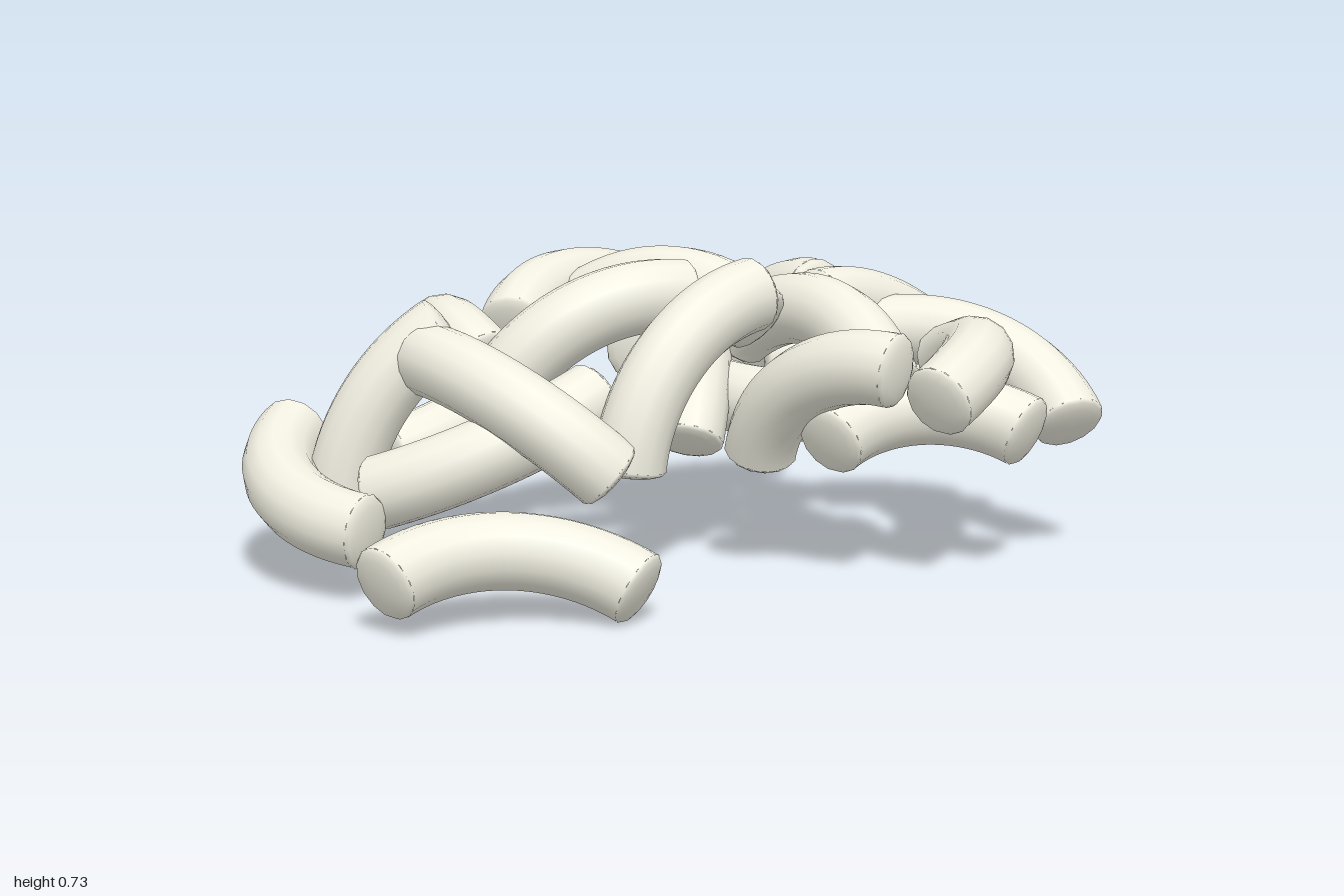
import * as THREE from 'three';

const RADIUS = 0.085;
const SIDES = 14;

// Circular arc through three points
class ArcThrough extends THREE.Curve {
  constructor(a, m, b) {
    super();
    const u = a.clone().sub(m), v = b.clone().sub(m), n = u.clone().cross(v);
    this.centre = v.clone().multiplyScalar(u.lengthSq()).sub(u.clone().multiplyScalar(v.lengthSq()))
      .cross(n).divideScalar(2 * n.lengthSq()).add(m);
    this.start = a.clone().sub(this.centre);
    const end = b.clone().sub(this.centre);
    this.axis = n.normalize().negate();
    // sweep from a to b passing through m
    const sweep = (p) => {
      const t = Math.atan2(this.axis.dot(this.start.clone().cross(p)), this.start.dot(p));
      return t < 0 ? t + 2 * Math.PI : t;
    };
    this.angle = sweep(end);
    if (sweep(m.clone().sub(this.centre)) > this.angle) this.angle -= 2 * Math.PI;
  }
  getPoint(t, target = new THREE.Vector3()) {
    return target.copy(this.start).applyAxisAngle(this.axis, this.angle * t).add(this.centre);
  }
}

// Each piece: one end, middle, other end (centre line)
const PIECES = {
  loosePiece: [[-0.67, 0.12, 0.715], [-0.39, 0.157, 0.595], [-0.135, 0.082, 0.645]],
  farLeftOuter: [[-0.89, 0.3, -0.1], [-0.905, 0.22, 0.15], [-0.72, 0.16, 0.385]],
  leftUpright: [[-0.78, 0.1, 0.085], [-0.71, 0.38, 0.085], [-0.54, 0.56, 0.075]],
  leftFrontSlope: [[-0.57, 0.5, 0.12], [-0.42, 0.45, 0.3], [-0.18, 0.28, 0.39]],
  leftFrontLow: [[-0.69, 0.22, 0.25], [-0.45, 0.31, 0.29], [-0.2, 0.42, 0.2]],
  leftTopArch: [[-0.43, 0.4, 0.14], [-0.24, 0.59, 0.14], [0.01, 0.635, 0.075]],
  leftBackArch: [[-0.48, 0.34, -0.4], [-0.54, 0.53, -0.15], [-0.45, 0.49, 0.09]],
  leftInnerArch: [[-0.37, 0.55, -0.06], [-0.24, 0.62, -0.28], [-0.03, 0.57, -0.43]],
  leftUnder: [[-0.66, 0.26, 0.02], [-0.45, 0.33, -0.15], [-0.31, 0.43, -0.42]],
  frontArch: [[-0.13, 0.28, 0.32], [-0.04, 0.51, 0.27], [0.17, 0.645, 0.135]],
  topArch: [[-0.28, 0.5, -0.22], [-0.02, 0.645, -0.12], [0.19, 0.57, 0.03]],
  backOuter: [[0.4, 0.43, -0.7], [0.11, 0.45, -0.61], [-0.05, 0.44, -0.38]],
  backArch: [[0.19, 0.28, -0.58], [0.26, 0.51, -0.48], [0.37, 0.59, -0.28]],
  middleUnder: [[0.07, 0.46, -0.45], [0.07, 0.45, -0.17], [0.03, 0.29, 0.03]],
  centreUnder: [[0.1, 0.37, -0.24], [0.25, 0.36, -0.03], [0.52, 0.35, -0.02]],
  centreArch: [[0.18, 0.5, -0.23], [0.36, 0.58, 0.02], [0.46, 0.45, 0.23]],
  frontRightArch: [[0.19, 0.28, 0.13], [0.27, 0.46, 0.27], [0.45, 0.51, 0.43]],
  rightFrontArch: [[0.55, 0.44, 0.43], [0.68, 0.5, 0.2], [0.67, 0.45, -0.1]],
  rightOuterArch: [[0.92, 0.33, 0.1], [0.77, 0.48, -0.1], [0.49, 0.5, -0.22]],
  rightBackArch: [[0.77, 0.35, -0.365], [0.59, 0.52, -0.32], [0.36, 0.58, -0.16]],
  rightLowFront: [[0.78, 0.34, 0.27], [0.58, 0.385, 0.2], [0.33, 0.33, 0.29]],
  rightLowBack: [[0.84, 0.37, -0.2], [0.56, 0.39, -0.37], [0.29, 0.41, -0.45]],
};

const UP = new THREE.Vector3(0, 1, 0);

function bentRod(name, points, material) {
  const curve = new ArcThrough(...points.map((p) => new THREE.Vector3(...p)));
  const rod = new THREE.Group();
  rod.name = name;
  const body = new THREE.Mesh(new THREE.TubeGeometry(curve, 20, RADIUS, SIDES), material);
  body.name = 'body';
  rod.add(body);
  // shallow domed ends
  for (const t of [0, 1]) {
    const dome = new THREE.SphereGeometry(RADIUS, SIDES, 4, 0, Math.PI * 2, 0, Math.PI / 2);
    dome.scale(1, 0.25, 1);
    const cap = new THREE.Mesh(dome, material);
    cap.name = 'endCap';
    cap.position.copy(curve.getPoint(t));
    cap.quaternion.setFromUnitVectors(UP, curve.getTangent(t).multiplyScalar(t ? 1 : -1));
    rod.add(cap);
  }
  return rod;
}

export function createModel() {
  const group = new THREE.Group();
  group.name = 'pileOfBentRods';
  const material = new THREE.MeshStandardMaterial({ color: 0xf0eee0 });
  for (const [name, points] of Object.entries(PIECES)) group.add(bentRod(name, points, material));
  return group;
}
